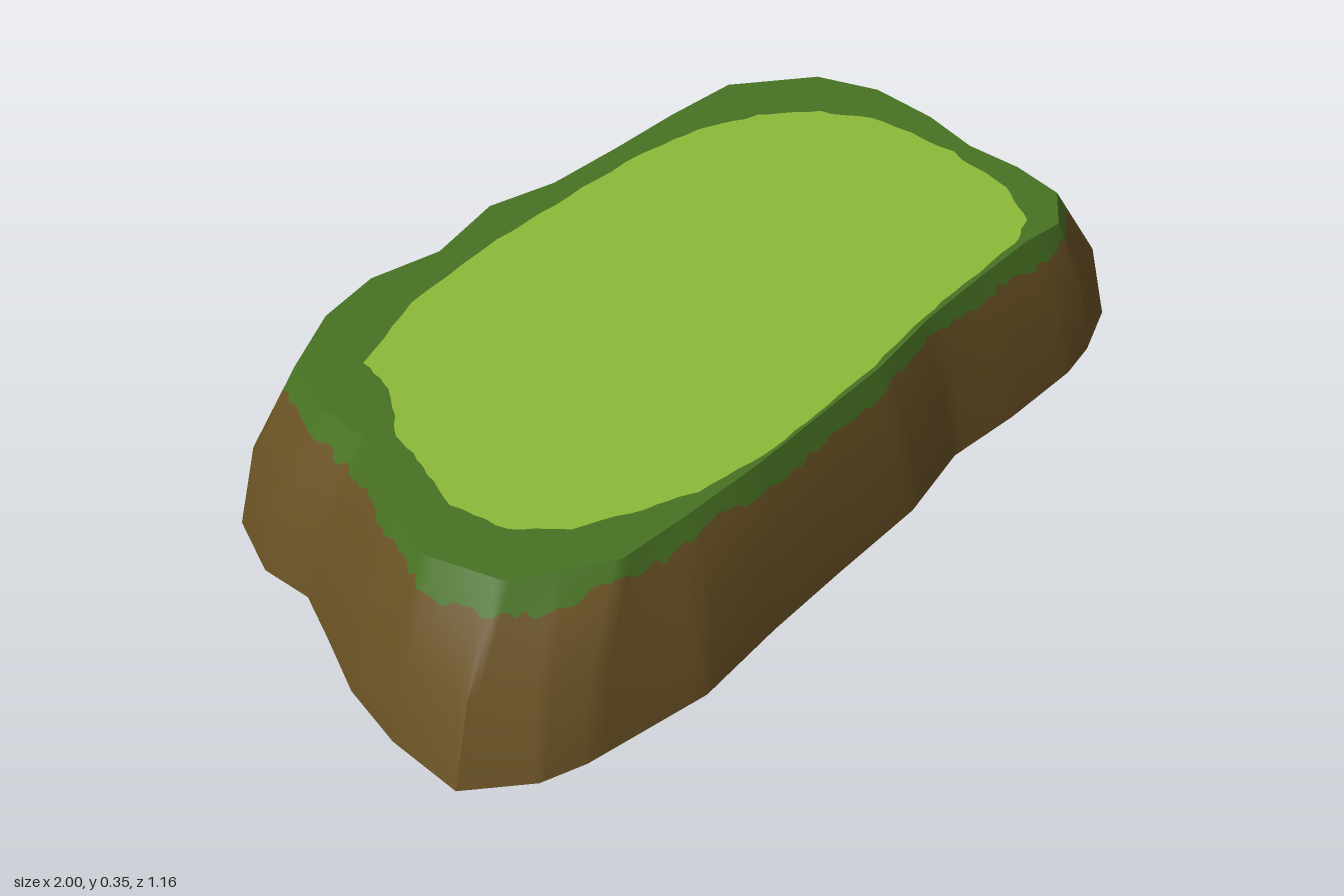
import * as THREE from 'three';
import { toCreasedNormals } from 'three/addons/utils/BufferGeometryUtils.js';

const H = 0.35, MID = 0.18, STEPS = 8;

// Outlines as [x, z], running back left -> right -> front -> left
const BASE = [
  [-0.82, -0.415], [-0.655, -0.51], [-0.475, -0.555], [-0.29, -0.53], [-0.09, -0.585], [0.11, -0.555],
  [0.32, -0.555], [0.495, -0.57], [0.715, -0.57], [0.91, -0.445], [1, -0.28], [1, -0.1],
  [0.96, 0.055], [0.965, 0.21], [0.95, 0.34], [0.825, 0.4], [0.73, 0.425], [0.53, 0.44],
  [0.35, 0.44], [0.16, 0.495], [-0.08, 0.52], [-0.29, 0.545], [-0.505, 0.58], [-0.785, 0.555],
  [-0.88, 0.53], [-1, 0.44], [-1, 0.265], [-0.97, 0.11], [-0.91, -0.035], [-0.865, -0.15], [-0.875, -0.27],
];
const RIM = [
  [-0.69, -0.365], [-0.545, -0.45], [-0.4, -0.485], [-0.24, -0.46], [-0.06, -0.51], [0.095, -0.48],
  [0.28, -0.485], [0.455, -0.495], [0.63, -0.495], [0.795, -0.38], [0.85, -0.25], [0.85, -0.095],
  [0.825, 0.04], [0.835, 0.165], [0.82, 0.285], [0.735, 0.36], [0.64, 0.355], [0.475, 0.37],
  [0.3, 0.39], [0.11, 0.43], [-0.08, 0.45], [-0.265, 0.47], [-0.45, 0.48], [-0.625, 0.485],
  [-0.72, 0.435], [-0.815, 0.38], [-0.87, 0.23], [-0.835, 0.11], [-0.785, 0], [-0.735, -0.1], [-0.735, -0.21],
];
const PATCH = [
  [-0.59, -0.28], [-0.4, -0.37], [-0.13, -0.41], [0.08, -0.425], [0.3, -0.435], [0.455, -0.415],
  [0.59, -0.365], [0.7, -0.28], [0.77, -0.16], [0.785, 0.03], [0.765, 0.2], [0.7, 0.305],
  [0.62, 0.345], [0.4, 0.37], [0.3, 0.382], [0.11, 0.422], [-0.08, 0.445], [-0.24, 0.463],
  [-0.4, 0.45], [-0.505, 0.418], [-0.64, 0.365], [-0.72, 0.285], [-0.755, 0.16], [-0.715, 0.04],
  [-0.69, -0.065], [-0.61, -0.185],
];

// Seeded noise
function seeded(seed) {
  return () => {
    seed = (seed * 16807) % 2147483647;
    return seed / 2147483647;
  };
}

const mix = (a, b, t) => a.map((v, i) => v + (b[i] - v) * t);

// Split every side of a closed outline into equal steps
function subdivide(points, n) {
  return points.flatMap((p, i) =>
    Array.from({ length: n }, (_, k) => mix(p, points[(i + 1) % points.length], k / n)));
}

// Flat face from an outline, facing up or down
function flatFace(outline, y, up, hole) {
  const s = up ? -1 : 1;
  const toPoints = (pts) => pts.map(([x, z]) => new THREE.Vector2(x, s * z));
  const shape = new THREE.Shape(toPoints(outline));
  if (hole) shape.holes.push(new THREE.Path(toPoints(hole)));
  return new THREE.ShapeGeometry(shape).rotateX(s * Math.PI / 2).translate(0, y, 0);
}

// Sloping wall: two soil bands and a grass band with a ragged lower edge
function wallGeometry() {
  const random = seeded(4217);
  const base = subdivide(BASE, STEPS), rim = subdivide(RIM, STEPS);
  const columns = base.map((b, i) => {
    const t = rim[i];
    const m = mix(b, t, 0.29);
    const a = (i / base.length) * Math.PI * 2;
    const y = 0.3 + 0.009 * Math.sin(a * 7 + 1) + 0.006 * Math.sin(a * 19) + (random() - 0.5) * 0.018;
    const e = mix(m, t, (y - MID) / (H - MID));
    return [[b[0], 0, b[1]], [m[0], MID, m[1]], [e[0], y, e[1]], [t[0], H, t[1]]];
  });
  const pos = [];
  const band = (k) => columns.forEach((c, i) => {
    const d = columns[(i + 1) % columns.length];
    pos.push(...c[k], ...c[k + 1], ...d[k + 1], ...c[k], ...d[k + 1], ...d[k]);
  });
  band(0);
  band(1);
  const soilCount = pos.length / 3;
  band(2);
  const geo = new THREE.BufferGeometry();
  geo.setAttribute('position', new THREE.Float32BufferAttribute(pos, 3));
  geo.addGroup(0, soilCount, 0);
  geo.addGroup(soilCount, pos.length / 3 - soilCount, 1);
  return toCreasedNormals(geo, 0.65);
}

export function createModel() {
  const material = (name, color) => {
    const m = new THREE.MeshStandardMaterial({ color });
    m.name = name;
    return m;
  };
  const soil = material('soil brown', 0x6a5225);
  const darkGrass = material('dark grass green', 0x487223);
  const lightGrass = material('light grass green', 0x8cba37);

  const group = new THREE.Group();
  group.name = 'grassyMound';
  const add = (name, geo, mat) => {
    const mesh = new THREE.Mesh(geo, mat);
    mesh.name = name;
    group.add(mesh);
  };

  // Slightly uneven edge of the bright lawn
  const random = seeded(991);
  const lawn = subdivide(PATCH, 5).map(([x, z]) => {
    const k = 1 - random() * 0.012;
    return [x * k, z * k];
  });

  add('slopingWall', wallGeometry(), [soil, darkGrass]);
  add('underside', flatFace(BASE, 0, false), soil);
  add('grassRim', flatFace(RIM, H, true, lawn), darkGrass);
  add('lawn', flatFace(lawn, H, true), lightGrass);
  return group;
}
